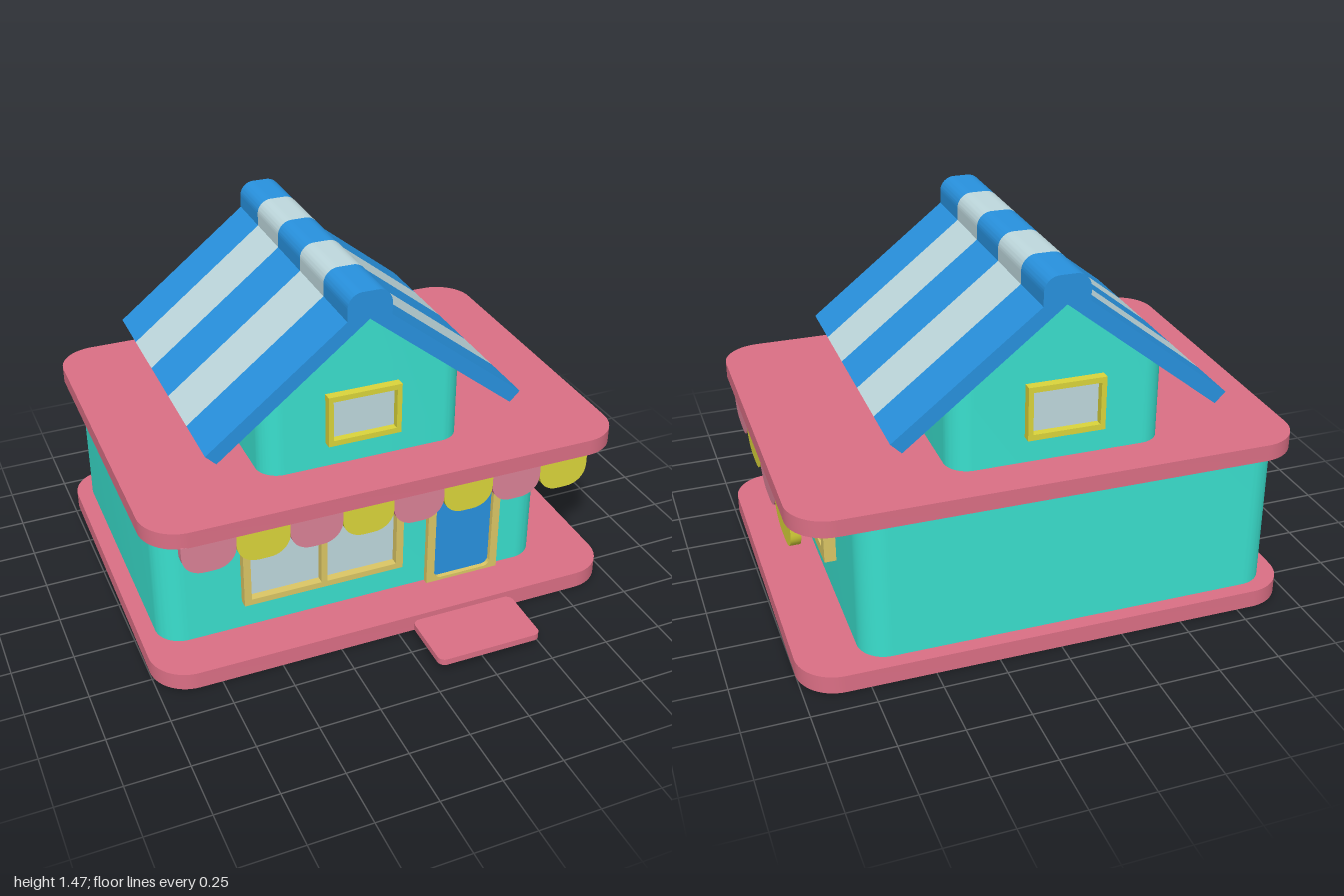
import * as THREE from 'three';
import { toCreasedNormals } from 'three/addons/utils/BufferGeometryUtils.js';

const paint = (name, color) => {
  const m = new THREE.MeshStandardMaterial({ color });
  m.name = name;
  return m;
};

function roundedRect(x0, x1, y0, y1, r, Kind = THREE.Shape) {
  const s = new Kind();
  s.moveTo(x0 + r, y0);
  s.lineTo(x1 - r, y0);
  if (r) s.absarc(x1 - r, y0 + r, r, -Math.PI / 2, 0);
  s.lineTo(x1, y1 - r);
  if (r) s.absarc(x1 - r, y1 - r, r, 0, Math.PI / 2);
  s.lineTo(x0 + r, y1);
  if (r) s.absarc(x0 + r, y1 - r, r, Math.PI / 2, Math.PI);
  s.lineTo(x0, y0 + r);
  if (r) s.absarc(x0 + r, y0 + r, r, Math.PI, Math.PI * 1.5);
  return s;
}

const extrude = (shape, depth) =>
  new THREE.ExtrudeGeometry(shape, { depth, bevelEnabled: false, curveSegments: 10 });

function part(name, geometry, material) {
  const mesh = new THREE.Mesh(toCreasedNormals(geometry, 0.5), material);
  mesh.name = name;
  return mesh;
}

// Upright block with rounded vertical corners
function blockGeometry(x0, x1, y0, y1, z0, z1, r) {
  return extrude(roundedRect(x0, x1, -z1, -z0, r), y1 - y0)
    .rotateX(-Math.PI / 2).translate(0, y0, 0);
}

// Raised frame with openings [x0, x1, y0, y1, radius], each filled by a thin pane
function framed(name, outer, openings, depth, frameMat, paneMat) {
  const g = new THREE.Group();
  g.name = name;
  const shape = roundedRect(...outer, 0);
  for (const o of openings) {
    shape.holes.push(roundedRect(...o, THREE.Path));
    const [x0, x1, y0, y1] = o;
    const pane = roundedRect(x0 - 0.005, x1 + 0.005, y0 - 0.005, y1 + 0.005, 0);
    g.add(part(name + 'Pane', extrude(pane, 0.008), paneMat));
  }
  g.add(part(name + 'Frame', extrude(shape, depth), frameMat));
  return g;
}

// Row of hanging scallops along +x, starting at x = 0
function awning(name, count, width, y0, y1, thickness, mats) {
  const g = new THREE.Group();
  g.name = name;
  const s = new THREE.Shape();
  const rx = width * 0.4, ry = 0.085;
  s.moveTo(0, y1);
  s.lineTo(0, y0 + ry);
  s.bezierCurveTo(0, y0 + ry * 0.4, rx * 0.45, y0, rx, y0);
  s.lineTo(width - rx, y0);
  s.bezierCurveTo(width - rx * 0.45, y0, width, y0 + ry * 0.4, width, y0 + ry);
  s.lineTo(width, y1);
  for (let i = 0; i < count; i++) {
    const flap = part('scallop', extrude(s, thickness), mats[i % 2]);
    flap.position.x = i * width;
    g.add(flap);
  }
  return g;
}

export function createModel() {
  const rose = paint('rose slab', 0xdb6f85);
  const pink = paint('pink awning', 0xdb8297);
  const yellow = paint('yellow', 0xdbd53b);
  const tan = paint('tan frame', 0xdcc765);
  const teal = paint('turquoise wall', 0x3ae0ce);
  const blue = paint('blue', 0x2892df);
  const pale = paint('pale glass', 0xbfd9de);

  const house = new THREE.Group();
  house.name = 'house';
  house.rotation.y = -0.0135;

  // Floor slab, ground floor, ceiling slab and doorstep
  house.add(part('baseSlab', blockGeometry(-0.991, 0.991, 0, 0.072, -0.92, 0.628, 0.16), rose));
  house.add(part('groundFloor', blockGeometry(-0.922, 0.75, 0.07, 0.67, -0.86, 0.425, 0.11), teal));
  house.add(part('upperSlab', blockGeometry(-0.991, 0.991, 0.665, 0.732, -0.92, 0.628, 0.16), rose));
  house.add(part('doorstep', blockGeometry(0.055, 0.5, 0.045, 0.072, 0.655, 0.917, 0.03), rose));

  // Attic: rounded plan, its top cut to the slope of the roof
  const ridgeX = -0.053, apexY = 1.358, slope = 0.784;
  const plan = roundedRect(-0.475, 0.372, -0.4, 0.745, 0.09).getPoints(10);
  const outline = [];
  plan.forEach((p, i) => {
    const q = plan[(i + 1) % plan.length];
    outline.push(p);
    if ((p.x - ridgeX) * (q.x - ridgeX) < 0) {
      outline.push(new THREE.Vector2(ridgeX, (p.y + q.y) / 2));
    }
  });
  const attic = extrude(new THREE.Shape(outline), 1).rotateX(-Math.PI / 2);
  const pos = attic.attributes.position;
  for (let i = 0; i < pos.count; i++) {
    const top = apexY - slope * Math.abs(pos.getX(i) - ridgeX);
    pos.setY(i, pos.getY(i) > 0.5 ? top : 0.72);
  }
  house.add(part('attic', attic, teal));

  // Roof: one profile with a rounded ridge cap, repeated as coloured stripes
  const roof = new THREE.Shape();
  const cap = 0.09, bend = 0.06;
  roof.moveTo(0, 1.355);
  roof.lineTo(0.613, 0.87);
  roof.lineTo(0.655, 0.912);
  roof.lineTo(cap, 1.357);
  roof.lineTo(cap, 1.468 - bend);
  roof.absarc(cap - bend, 1.468 - bend, bend, 0, Math.PI / 2);
  roof.lineTo(bend - cap, 1.468);
  roof.absarc(bend - cap, 1.468 - bend, bend, Math.PI / 2, Math.PI);
  roof.lineTo(-cap, 1.357);
  roof.lineTo(-0.655, 0.912);
  roof.lineTo(-0.613, 0.87);
  const cuts = [-0.778, -0.55, -0.3, -0.05, 0.2, 0.438];
  for (let i = 0; i < 5; i++) {
    const stripe = part('roofStripe', extrude(roof, cuts[i + 1] - cuts[i]), i % 2 ? pale : blue);
    stripe.position.set(ridgeX, 0, cuts[i]);
    house.add(stripe);
  }

  // Attic windows, front and back
  for (const side of [1, -1]) {
    const w = framed('atticWindow', [-0.152, 0.152, 0.837, 1.052],
      [[-0.132, 0.132, 0.86, 1.03, 0]], 0.038, yellow, pale);
    w.position.set(-0.065, 0, side > 0 ? 0.398 : -0.743);
    if (side < 0) w.rotation.y = Math.PI;
    house.add(w);
  }

  // Ground floor windows and door
  const shopWindow = framed('frontWindow', [-0.588, 0.096, 0.2, 0.556],
    [[-0.558, -0.262, 0.226, 0.528, 0], [-0.236, 0.065, 0.226, 0.528, 0]], 0.042, tan, pale);
  shopWindow.position.z = 0.422;
  const door = framed('door', [0.215, 0.543, 0.07, 0.575],
    [[0.25, 0.51, 0.086, 0.54, 0.03]], 0.028, tan, blue);
  door.position.z = 0.422;
  const sideWindow = framed('sideWindow', [-0.15, 0.46, 0.265, 0.597],
    [[-0.1, 0.41, 0.308, 0.552, 0]], 0.05, tan, pale);
  sideWindow.rotation.y = Math.PI / 2;
  sideWindow.position.x = 0.747;
  house.add(shopWindow, door, sideWindow);

  // Scalloped awnings at the front and on the left side
  const frontAwning = awning('frontAwning', 8, 0.212, 0.54, 0.668, 0.04, [pink, yellow]);
  frontAwning.position.set(-0.872, 0, 0.587);
  const sideAwning = awning('sideAwning', 4, 0.299, 0.532, 0.668, 0.038, [pink, yellow]);
  sideAwning.rotation.y = Math.PI / 2;
  sideAwning.position.set(0.936, 0, 0.41);
  house.add(frontAwning, sideAwning);

  const model = new THREE.Group();
  model.name = 'model';
  model.add(house);
  return model;
}
